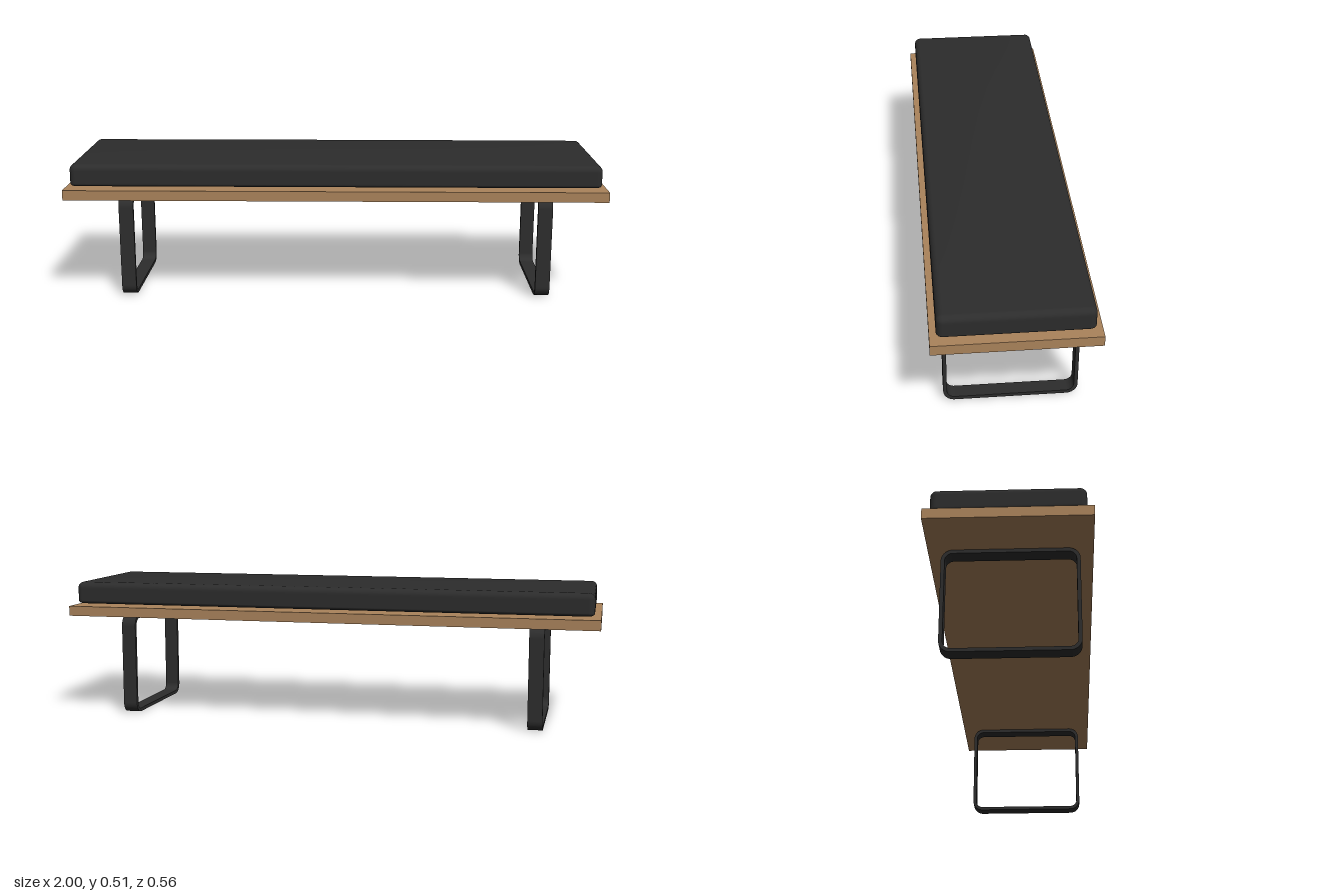
import * as THREE from 'three';
import { mergeVertices } from 'three/addons/utils/BufferGeometryUtils.js';

const wood = new THREE.MeshStandardMaterial({ name: 'oakWood', color: 0xaa835b });
const fabric = new THREE.MeshStandardMaterial({ name: 'charcoalFabric', color: 0x2c2c2c });
const metal = new THREE.MeshStandardMaterial({ name: 'blackMetal', color: 0x2d2d2d });

// Rectangle with rounded corners, centred on the origin
function roundedRect(path, w, h, r) {
  const x = w / 2, y = h / 2;
  path.moveTo(x, -y + r);
  path.lineTo(x, y - r);
  path.absarc(x - r, y - r, r, 0, Math.PI / 2);
  path.lineTo(-x + r, y);
  path.absarc(-x + r, y - r, r, Math.PI / 2, Math.PI);
  path.lineTo(-x, -y + r);
  path.absarc(-x + r, -y + r, r, Math.PI, Math.PI * 1.5);
  path.lineTo(x - r, -y);
  path.absarc(x - r, -y + r, r, Math.PI * 1.5, Math.PI * 2);
  return path;
}

// Padded cushion: a box with rounded edges, a tighter bottom edge and a crowned top
function cushionGeometry(hx, hy, hz, r, crown) {
  const n = 20, edge = 5;
  let g = new THREE.BoxGeometry(2, 2, 2, n, n, n);
  g.deleteAttribute('uv');
  g.deleteAttribute('normal');
  g = mergeVertices(g);
  const p = g.attributes.position;

  // Crowd the outer grid lines into the rounded edges
  const spread = (t, half) => {
    const inner = 1 - (2 * edge) / n, a = Math.abs(t);
    const d = a <= inner
      ? (a / inner) * (half - r)
      : half - r + r * Math.tan(((a - inner) / (1 - inner)) * Math.PI / 4);
    return Math.sign(t) * d;
  };
  const half = new THREE.Vector3(hx, hy, hz);
  const core = half.clone().subScalar(r);
  const v = new THREE.Vector3(), c = new THREE.Vector3();
  for (let i = 0; i < p.count; i++) {
    v.set(spread(p.getX(i), hx), spread(p.getY(i), hy), spread(p.getZ(i), hz));
    c.copy(v).clamp(core.clone().negate(), core);
    v.sub(c).setLength(r).add(c);
    if (v.y < -core.y) v.y = -core.y + (v.y + core.y) * 0.55;
    if (v.y > 0) {
      v.y += crown * (v.y / hy) * (1 - (v.x / hx) ** 2) * (1 - (v.z / hz) ** 2);
    }
    p.setXYZ(i, v.x, v.y, v.z);
  }
  g.computeVertexNormals();
  return g;
}

export function createModel() {
  const bench = new THREE.Group();
  bench.name = 'bench';

  const add = (name, geometry, material, x, y, z) => {
    const mesh = new THREE.Mesh(geometry, material);
    mesh.name = name;
    mesh.position.set(x, y, z);
    bench.add(mesh);
    return mesh;
  };

  // Wooden seat board
  add('seatBoard', new THREE.BoxGeometry(2, 0.037, 0.556), wood, 0, 0.3985, 0);

  // Cushion, just clear of the board
  add('cushion', cushionGeometry(0.977, 0.0465, 0.256, 0.022, 0.005), fabric, 0, 0.4615, 0);

  // Flat metal loop legs
  const width = 0.054, bar = 0.013;
  const loop = roundedRect(new THREE.Shape(), 0.466, 0.38, 0.04);
  loop.holes.push(roundedRect(new THREE.Path(), 0.466 - 2 * bar, 0.38 - 2 * bar, 0.04 - bar));
  const legGeometry = new THREE.ExtrudeGeometry(loop, {
    depth: width, bevelEnabled: false, curveSegments: 10,
  });
  legGeometry.translate(0, 0, -width / 2).rotateY(Math.PI / 2);
  for (const side of [1, -1]) {
    add(side > 0 ? 'leftLeg' : 'rightLeg', legGeometry, metal, side * 0.777, 0.19, 0);
  }

  return bench;
}
